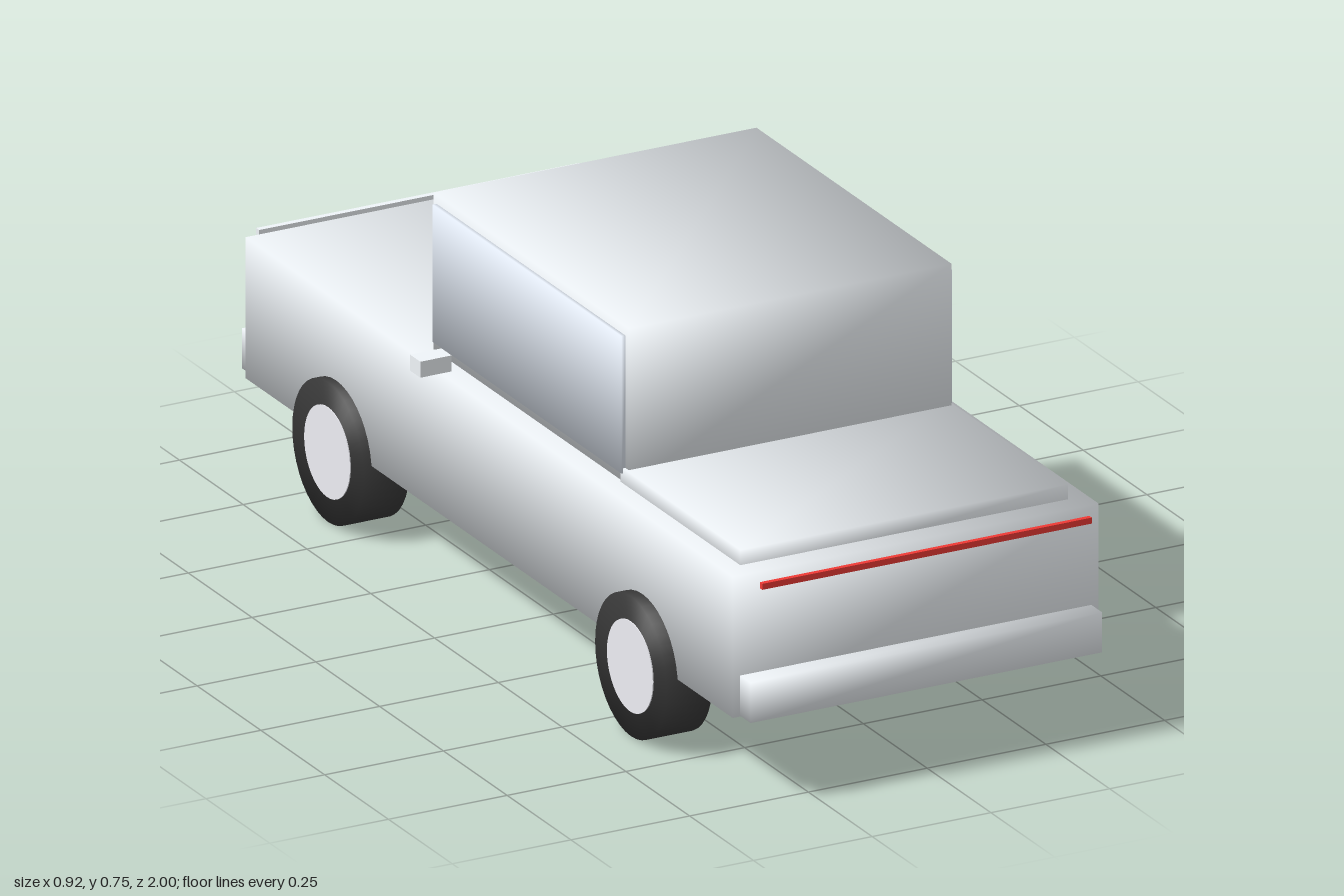
import * as THREE from 'three';

const paint = new THREE.MeshStandardMaterial({ color: 0xf0f5f9 });
const glass = new THREE.MeshStandardMaterial({ color: 0xeaf2fd });
const chrome = new THREE.MeshStandardMaterial({ color: 0xeeeef4 });
const rubber = new THREE.MeshStandardMaterial({ color: 0x363636 });
const red = new THREE.MeshStandardMaterial({ color: 0xf03a35 });

// Blend the normals across all edges, so that they point out diagonally at the corners
function soften(geometry, halfX, halfY, halfZ) {
  const { position, normal } = geometry.attributes;
  const v = new THREE.Vector3();
  const half = new THREE.Vector3(halfX, halfY, halfZ);
  for (let i = 0; i < position.count; i++) {
    v.fromBufferAttribute(position, i).divide(half).normalize();
    normal.setXYZ(i, v.x, v.y, v.z);
  }
  return geometry;
}

// Box given by its limits on each axis
function box(name, [x0, x1], [y0, y1], [z0, z1], material, soft = true) {
  const size = [x1 - x0, y1 - y0, z1 - z0];
  const geometry = new THREE.BoxGeometry(...size);
  if (soft) soften(geometry, ...size.map((s) => s / 2));
  const mesh = new THREE.Mesh(geometry, material);
  mesh.name = name;
  mesh.position.set((x0 + x1) / 2, (y0 + y1) / 2, (z0 + z1) / 2);
  return mesh;
}

// Wheel whose outer face lies at x = outer on the given side
function wheel(name, side, outer, z) {
  const group = new THREE.Group();
  group.name = name;
  const disc = (part, radius, width, x, material, soft) => {
    const geometry = new THREE.CylinderGeometry(radius, radius, width, 40).rotateZ(Math.PI / 2);
    if (soft) soften(geometry, width / 2, radius, radius);
    const mesh = new THREE.Mesh(geometry, material);
    mesh.name = part;
    mesh.position.x = side * x;
    group.add(mesh);
  };
  disc('tire', 0.14, 0.097, outer - 0.0485, rubber, true);
  disc('hubcap', 0.09, 0.02, outer - 0.008, chrome, false);
  group.position.set(0, 0.14, z);
  return group;
}

export function createModel() {
  const model = new THREE.Group();
  model.name = 'pickupTruck';

  // Body, cabin and covered load bed
  model.add(
    box('body', [-0.385, 0.385], [0.158, 0.44], [-0.955, 0.955], paint),
    box('cabin', [-0.34, 0.34], [0.44, 0.753], [-0.302, 0.463], paint),
    box('bedCover', [-0.345, 0.345], [0.41, 0.47], [0.44, 0.91], paint)
  );

  // Bumpers, light strips and grille
  model.add(
    box('tailBumper', [-0.37, 0.37], [0.16, 0.24], [0.95, 0.997], paint),
    box('noseBumper', [-0.37, 0.37], [0.16, 0.24], [-0.997, -0.95], paint),
    box('tailLightStrip', [-0.347, 0.347], [0.423, 0.435], [0.99, 1], red, false),
    box('headLightStrip', [-0.34, 0.34], [0.423, 0.435], [-0.997, -0.985], paint, false),
    box('grille', [-0.255, 0.255], [0.22, 0.27], [-1, -0.98], rubber, false)
  );

  // Side windows, mirrors and wheels on both sides
  for (const side of [-1, 1]) {
    const label = side > 0 ? 'left' : 'right';
    const span = (a, b) => (side > 0 ? [a, b] : [-b, -a]);
    model.add(
      box(label + 'Window', span(0.335, 0.348), [0.46, 0.735], [-0.29, 0.45], glass),
      box(label + 'Mirror', span(0.392, 0.458), [0.465, 0.497], [-0.174, -0.134], paint, false),
      wheel(label + 'TailWheel', side, 0.409, 0.6),
      wheel(label + 'NoseWheel', side, 0.402, -0.6)
    );
  }
  return model;
}
